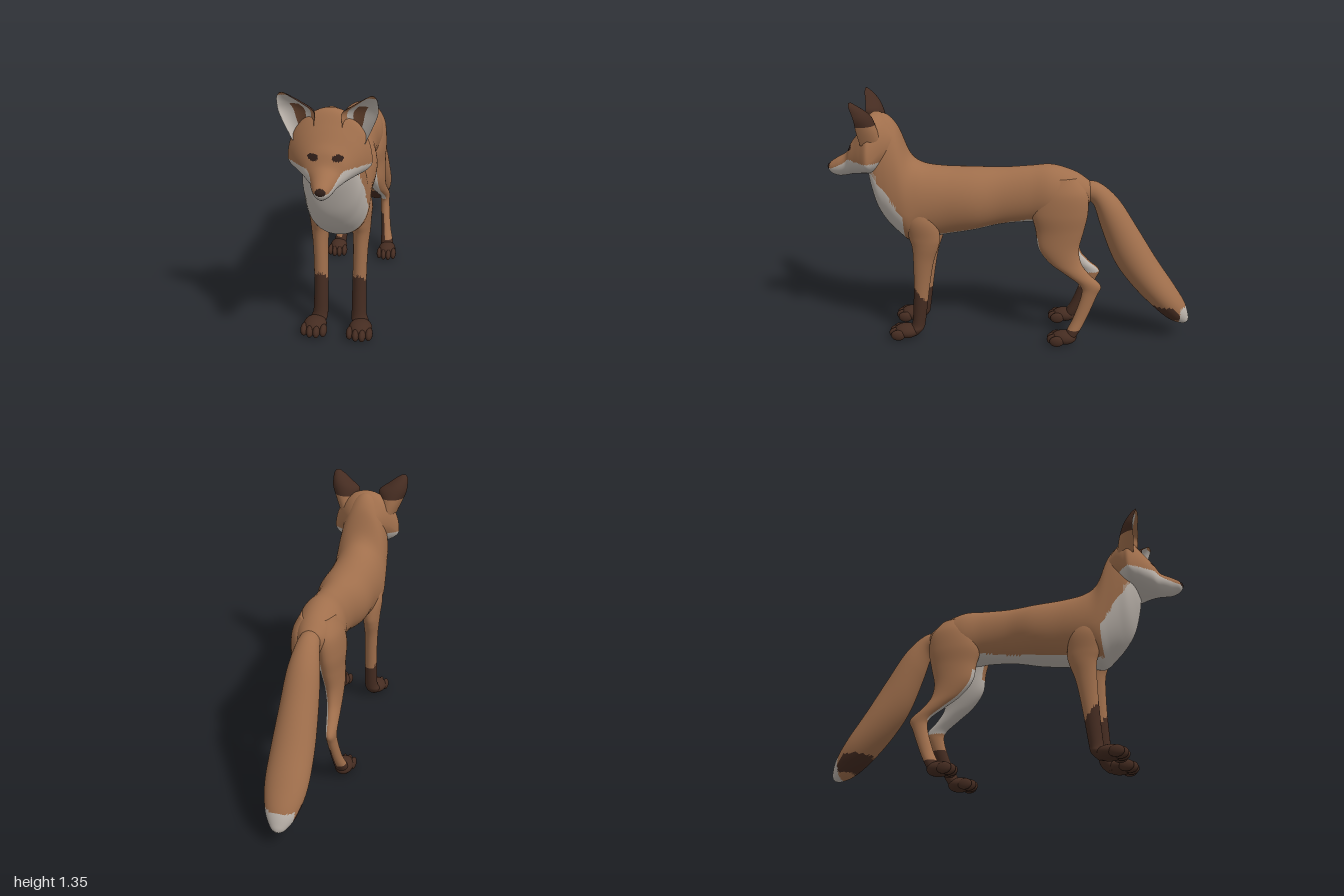
import * as THREE from 'three';

const paint = (name, color) => Object.assign(new THREE.MeshStandardMaterial({ color }), { name });
const mats = [
  paint('russet fur', 0xa06f4c),
  paint('pale fur', 0xbdb5ad),
  paint('dark fur', 0x452c21),
  paint('nose and eyes', 0x2f1e18),
  paint('ear hollow', 0x6b4630),
];
const [FUR, PALE, DARK, BLACK, HOLLOW] = [0, 1, 2, 3, 4];

// Smooth interpolation of a table of cross-sections
function refine(rows, sub) {
  const out = [];
  const at = (i) => rows[Math.max(0, Math.min(rows.length - 1, i))];
  for (let i = 0; i < rows.length - 1; i++) {
    for (let k = 0; k < sub; k++) {
      const t = k / sub;
      out.push(at(i).map((p1, c) => {
        const p0 = at(i - 1)[c], p2 = at(i + 1)[c], p3 = at(i + 2)[c];
        return p1 + 0.5 * t * (p2 - p0 + t * (2 * p0 - 5 * p1 + 4 * p2 - p3 + t * (3 * (p1 - p2) + p3 - p0)));
      }));
    }
  }
  out.push(rows[rows.length - 1]);
  return out;
}

// Closed skin through cross-sections; rule(x, y, z, cos, sin) picks the colour of each face
function loft(name, rows, point, rule, { side = 1, seg = 48, sub = 8 } = {}) {
  const rings = refine(rows, sub), pos = [], n = rings.length;
  rings.forEach((r) => {
    for (let j = 0; j < seg; j++) {
      const a = (j / seg) * Math.PI * 2;
      pos.push(point(r, Math.cos(a), Math.sin(a)));
    }
  });
  const mean = (start) => [0, 1, 2].map((c) => {
    let s = 0;
    for (let j = 0; j < seg; j++) s += pos[start + j][c];
    return s / seg;
  });
  const first = pos.push(mean(0)) - 1, last = pos.push(mean((n - 1) * seg)) - 1;
  const buckets = mats.map(() => []);
  let volume = 0;
  const tri = (a, b, c, j) => {
    const [p, q, r] = [pos[a], pos[b], pos[c]];
    volume += p[0] * (q[1] * r[2] - q[2] * r[1]) + p[1] * (q[2] * r[0] - q[0] * r[2]) + p[2] * (q[0] * r[1] - q[1] * r[0]);
    const ang = ((j + 0.5) / seg) * Math.PI * 2;
    const m = [0, 1, 2].map((k) => (p[k] + q[k] + r[k]) / 3);
    buckets[rule(m[0], m[1], m[2], Math.cos(ang), Math.sin(ang))].push([a, b, c]);
  };
  for (let j = 0; j < seg; j++) {
    const k = (j + 1) % seg;
    tri(first, k, j, j);
    for (let i = 0; i < n - 1; i++) {
      const o = i * seg, u = o + seg;
      tri(o + j, o + k, u + j, j);
      tri(o + k, u + k, u + j, j);
    }
    tri(last, (n - 1) * seg + j, (n - 1) * seg + k, j);
  }
  const flip = volume * side < 0;
  const geo = new THREE.BufferGeometry();
  geo.setAttribute('position', new THREE.Float32BufferAttribute(pos.flatMap(([x, y, z]) => [x * side, y, z]), 3));
  const index = [];
  buckets.forEach((b, m) => {
    if (!b.length) return;
    geo.addGroup(index.length, b.length * 3, m);
    b.forEach(([p, q, r]) => index.push(...(flip ? [p, r, q] : [p, q, r])));
  });
  geo.setIndex(index);
  geo.computeVertexNormals();
  const mesh = new THREE.Mesh(geo, mats);
  mesh.name = name;
  return mesh;
}

function ellipsoid(name, mat, [x, y, z], [rx, ry, rz]) {
  const mesh = new THREE.Mesh(new THREE.SphereGeometry(1, 20, 14), mats[mat]);
  mesh.position.set(x, y, z);
  mesh.scale.set(rx, ry, rz);
  mesh.name = name;
  return mesh;
}

// Section shapes: upright slice [z, top, bottom, halfWidth, widestY], level slice [y, x, z, rx, rz]
const slice = (low) => ([z, top, bottom, w, mid], c, s) =>
  [w * Math.sign(c) * Math.abs(c) ** (s < 0 ? low : 1), mid + s * (s > 0 ? top - mid : mid - bottom), z];
const level = ([y, x, z, rx, rz], c, s) => [x + rx * c, y, z + rz * s];
const smooth = THREE.MathUtils.smoothstep;

function paw(x, z, w) {
  const g = new THREE.Group();
  g.name = 'paw';
  g.add(ellipsoid('pad', DARK, [x, 0.04, z], [w, 0.04, 0.07]));
  for (let i = 0; i < 4; i++) {
    const k = i - 1.5, inner = Math.abs(k) < 1;
    g.add(ellipsoid('toe', DARK, [x + k * w * 0.55, 0.031, z + (inner ? 0.055 : 0.04)], [w * 0.32, 0.031, 0.04]));
  }
  return g;
}

export function createModel() {
  const fox = new THREE.Group();
  fox.name = 'fox';

  // Trunk and neck, with pale chest and belly
  fox.add(loft('body', [
    [-0.44, 0.885, 0.83, 0.03, 0.86], [-0.41, 0.91, 0.76, 0.07, 0.84], [-0.34, 0.955, 0.69, 0.105, 0.82],
    [-0.22, 0.99, 0.67, 0.125, 0.82], [-0.1, 0.982, 0.67, 0.112, 0.82], [0.05, 0.97, 0.655, 0.118, 0.81],
    [0.2, 0.97, 0.62, 0.148, 0.79], [0.36, 0.972, 0.59, 0.15, 0.78], [0.48, 0.99, 0.565, 0.155, 0.76],
    [0.55, 1.045, 0.55, 0.158, 0.74], [0.61, 1.19, 0.595, 0.152, 0.79], [0.67, 1.255, 0.655, 0.145, 0.87],
    [0.72, 1.25, 0.74, 0.135, 0.92], [0.755, 1.2, 0.86, 0.105, 1.0], [0.77, 1.08, 0.95, 0.05, 1.02],
  ], slice(0.9), (x, y, z) => {
    const chest = z > 0.575 && y < 0.73 + (z - 0.58) * 1.5;
    const belly = y < 0.605 + (0.4 - z) * 0.19 && z > -0.42 && y < 0.72;
    return chest || belly ? PALE : FUR;
  }));

  // Head with pale jaw and cheeks, dark eyes
  fox.add(loft('head', [
    [0.62, 1.19, 1.02, 0.09, 1.1], [0.68, 1.25, 0.96, 0.145, 1.08], [0.72, 1.265, 0.94, 0.18, 1.04],
    [0.75, 1.255, 0.935, 0.195, 1.028], [0.79, 1.2, 0.93, 0.165, 1.028], [0.83, 1.14, 0.925, 0.128, 1.02],
    [0.86, 1.1, 0.922, 0.1, 1.005], [0.89, 1.045, 0.915, 0.07, 0.985], [0.94, 1.015, 0.91, 0.05, 0.968],
    [0.98, 0.988, 0.925, 0.032, 0.96], [0.995, 0.965, 0.945, 0.012, 0.955],
  ], slice(1.3), (x, y, z) => {
    const ax = Math.abs(x);
    if (z > 0.8 && ((ax - 0.056) / 0.026) ** 2 + ((y - 1.078) / 0.015) ** 2 < 1) return BLACK;
    return z > 0.69 && y < 0.957 + 0.068 * smooth(ax, 0.03, 0.09) ? PALE : FUR;
  }, { seg: 88, sub: 10 }));
  fox.add(ellipsoid('nose', BLACK, [0, 0.962, 0.982], [0.026, 0.02, 0.018]));

  // Brush tail: [top z, top y, bottom z, bottom y, half width]
  fox.add(loft('tail', [
    [-0.38, 0.9, -0.4, 0.8, 0.05], [-0.47, 0.893, -0.445, 0.77, 0.06], [-0.58, 0.8, -0.49, 0.64, 0.085],
    [-0.69, 0.635, -0.565, 0.455, 0.1], [-0.8, 0.46, -0.66, 0.32, 0.11], [-0.9, 0.315, -0.78, 0.195, 0.108],
    [-0.97, 0.205, -0.88, 0.11, 0.08], [-0.995, 0.13, -0.955, 0.08, 0.04], [-0.998, 0.1, -0.985, 0.083, 0.012],
  ], ([zt, yt, zb, yb, w], c, s) => [w * c, (yt + yb + s * (yt - yb)) / 2, (zt + zb + s * (zt - zb)) / 2],
  (x, y, z, c, s) => {
    if (z < -0.94 && y < 0.19) return PALE;
    return y < 0.205 && y > 0.115 && s < 0.1 ? DARK : FUR;
  }));

  for (const side of [1, -1]) {
    const tag = side > 0 ? 'left' : 'right';

    // Cupped ear: dark back, pale front with a brown hollow
    fox.add(loft(tag + 'Ear', [
      [1.12, 0.11, 0.735, 0.055, 0.06], [1.2, 0.132, 0.748, 0.068, 0.055], [1.26, 0.142, 0.758, 0.081, 0.045],
      [1.3, 0.168, 0.775, 0.058, 0.035], [1.335, 0.191, 0.798, 0.032, 0.02], [1.354, 0.2, 0.81, 0.01, 0.006],
    ], ([y, x, z, rx, rz], c, s) => [x + rx * c, y, z + rz * (0.7 - (s > 0 ? 0.9 : 1.7) * Math.abs(s))],
    (x, y, z, c, s) => {
      if (s < 0) return y > 1.225 ? DARK : FUR;
      if (c < -0.72 || y > 1.34) return FUR;
      return Math.abs(c + 0.1) < 0.32 && y < 1.29 ? HOLLOW : PALE;
    }, { side }));

    // Front leg with dark stocking
    fox.add(loft(tag + 'FrontLeg', [
      [0.8, 0.09, 0.5, 0.04, 0.05], [0.7, 0.105, 0.485, 0.056, 0.085], [0.6, 0.105, 0.468, 0.05, 0.085],
      [0.54, 0.105, 0.465, 0.045, 0.072], [0.45, 0.103, 0.478, 0.038, 0.056], [0.3, 0.1, 0.493, 0.036, 0.044],
      [0.1, 0.1, 0.513, 0.038, 0.037], [0.05, 0.108, 0.53, 0.043, 0.042], [0.015, 0.11, 0.55, 0.03, 0.03],
    ], level, (x, y, z) => (y < 0.2 + (z - 0.45) * 1.3 ? DARK : FUR), { side, seg: 32 }));

    // Hind leg with pale inner thigh and dark inner shank
    fox.add(loft(tag + 'HindLeg', [
      [0.93, 0.05, -0.28, 0.04, 0.07], [0.85, 0.06, -0.28, 0.068, 0.13], [0.74, 0.07, -0.265, 0.07, 0.15],
      [0.64, 0.075, -0.265, 0.06, 0.13], [0.54, 0.085, -0.262, 0.05, 0.11], [0.46, 0.095, -0.3, 0.04, 0.086],
      [0.4, 0.105, -0.365, 0.034, 0.066], [0.34, 0.115, -0.437, 0.028, 0.057], [0.28, 0.118, -0.432, 0.026, 0.042],
      [0.15, 0.13, -0.385, 0.028, 0.037], [0.06, 0.143, -0.34, 0.036, 0.036], [0.015, 0.147, -0.32, 0.025, 0.025],
    ], level, (x, y, z, c, s) => {
      if (y < 0.09 || (c < -0.1 && y < 0.24)) return DARK;
      return y > 0.33 && y < 0.7 && (c < -0.4 || (s > 0.92 && y < 0.6)) ? PALE : FUR;
    }, { side, seg: 32 }));

    // Paws
    const front = paw(side * 0.118, 0.585, 0.06), hind = paw(side * 0.148, -0.3, 0.05);
    front.name = tag + 'FrontPaw';
    hind.name = tag + 'HindPaw';
    fox.add(front, hind);
  }
  return fox;
}
